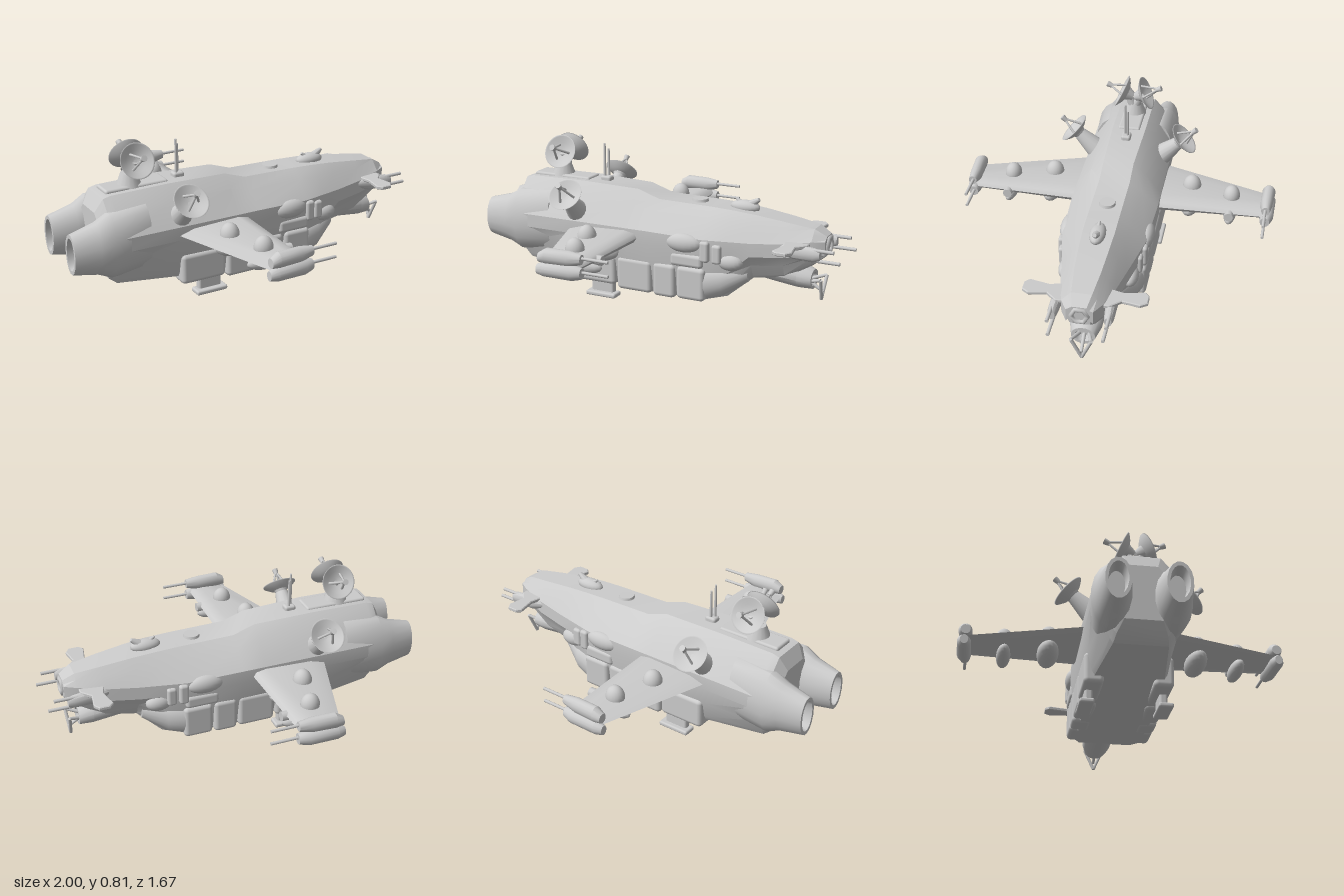
import * as THREE from 'three';
import { toCreasedNormals } from 'three/addons/utils/BufferGeometryUtils.js';
import { RoundedBoxGeometry } from 'three/addons/geometries/RoundedBoxGeometry.js';

const mat = new THREE.MeshStandardMaterial({ color: 0xcccccc });
const thin = new THREE.MeshStandardMaterial({ color: 0xcccccc, side: THREE.DoubleSide });
const V = (x, y, z) => new THREE.Vector3(x, y, z);
const UP = V(0, 1, 0);

// Skin a row of stations { x, loop: [[y, z], ...] } ordered along x, with end caps
function loft(stations, crease = 0.5) {
  const n = stations[0].loop.length, pos = [], idx = [];
  stations.forEach(s => s.loop.forEach(([y, z]) => pos.push(s.x, y, z)));
  for (let i = 0; i < stations.length - 1; i++) {
    for (let j = 0; j < n; j++) {
      const a = i * n + j, c = i * n + (j + 1) % n;
      idx.push(a, c, a + n, c, c + n, a + n);
    }
  }
  const last = (stations.length - 1) * n;
  for (let j = 1; j < n - 1; j++) idx.push(0, j + 1, j, last, last + j, last + j + 1);
  const g = new THREE.BufferGeometry();
  g.setAttribute('position', new THREE.Float32BufferAttribute(pos, 3));
  g.setIndex(idx);
  return toCreasedNormals(g, crease);
}

// Oval station with centre (cy, cz) and radii (ry, rz)
function oval(x, cy, cz, ry, rz, n = 16) {
  const loop = [];
  for (let i = 0; i < n; i++) {
    const t = (i + 0.5) / n * Math.PI * 2;
    loop.push([cy + ry * Math.cos(t), cz + rz * Math.sin(t)]);
  }
  return { x, loop };
}

export function createModel() {
  const model = new THREE.Group();
  model.name = 'gunship';

  function add(name, geo, x = 0, y = 0, z = 0, m = mat, parent = model) {
    const mesh = new THREE.Mesh(geo, m);
    mesh.name = name;
    mesh.position.set(x, y, z);
    parent.add(mesh);
    return mesh;
  }
  function rod(name, a, b, r0, r1 = r0, sides = 10, parent = model) {
    const d = b.clone().sub(a), mid = a.clone().add(b).multiplyScalar(0.5);
    const m = add(name, new THREE.CylinderGeometry(r1, r0, d.length(), sides), mid.x, mid.y, mid.z, mat, parent);
    m.quaternion.setFromUnitVectors(UP, d.normalize());
    return m;
  }
  const box = (name, w, h, d, x, y, z, r = 0.012) =>
    add(name, new RoundedBoxGeometry(w, h, d, 2, r), x, y, z);
  function ball(name, rx, ry, rz, x, y, z) {
    const m = add(name, new THREE.SphereGeometry(1, 18, 12), x, y, z);
    m.scale.set(rx, ry, rz);
    return m;
  }

  // Hull: [x, top y, bottom y, top half width, widest half width, widest y, bottom half width]
  const hull = [
    [-0.84, 0.50, 0.22, 0.07, 0.15, 0.37, 0.09],
    [-0.80, 0.57, 0.16, 0.09, 0.21, 0.37, 0.12],
    [-0.76, 0.58, 0.13, 0.09, 0.23, 0.37, 0.13],
    [-0.45, 0.585, 0.11, 0.09, 0.23, 0.37, 0.17],
    [-0.12, 0.575, 0.07, 0.08, 0.23, 0.37, 0.18],
    [0.00, 0.535, 0.06, 0.08, 0.23, 0.37, 0.18],
    [0.30, 0.53, 0.06, 0.08, 0.215, 0.36, 0.17],
    [0.42, 0.525, 0.09, 0.08, 0.19, 0.36, 0.14],
    [0.54, 0.515, 0.19, 0.075, 0.165, 0.36, 0.09],
    [0.70, 0.495, 0.21, 0.065, 0.135, 0.37, 0.07],
    [0.84, 0.475, 0.29, 0.05, 0.10, 0.39, 0.05],
    [0.90, 0.44, 0.34, 0.035, 0.065, 0.39, 0.035],
  ].map(([x, t, b, wt, wm, ym, wb]) => {
    const half = [[t, wt], [t - (t - ym) * 0.3, wt + (wm - wt) * 0.45], [ym + 0.03, wm],
      [ym - 0.04, wm], [b + (ym - b) * 0.45, (wm + wb) / 2 + 0.005], [b + 0.03 * (ym - b) / 0.3, wb + 0.015], [b, wb]];
    return { x, loop: [...half, ...half.map(([y, z]) => [y, -z]).reverse()] };
  });
  add('hull', loft(hull, 0.35));

  // Nose collar, chin turret and its splayed prongs
  const collar = add('noseCollar', new THREE.TorusGeometry(0.04, 0.012, 8, 6), 0.9, 0.39, 0);
  collar.rotation.y = Math.PI / 2;
  add('chinTurret', loft([oval(0.5, 0.24, 0, 0.06, 0.06), oval(0.64, 0.23, 0, 0.065, 0.085),
    oval(0.76, 0.215, 0, 0.065, 0.08), oval(0.83, 0.20, 0, 0.05, 0.06), oval(0.83, 0.20, 0, 0.035, 0.042),
    oval(0.79, 0.20, 0, 0.03, 0.035)]));
  for (const [y, z] of [[0.215, 0.05], [0.215, -0.05], [0.14, 0]])
    rod('chinProng', V(0.80, 0.19, z * 0.5), V(0.88, y, z), 0.01, 0.008);
  rod('chinProngBar', V(0.88, 0.215, 0.05), V(0.87, 0.10, 0), 0.009);
  rod('chinProngBar', V(0.88, 0.215, -0.05), V(0.87, 0.10, 0), 0.009);

  // Roof details: sensor fin, hatch, twin masts, dish pedestal
  ball('sensorBase', 0.08, 0.035, 0.04, 0.45, 0.53, 0);
  rod('sensorHorn', V(0.46, 0.53, 0), V(0.525, 0.575, 0), 0.03, 0.01, 8);
  rod('sensorFin', V(0.44, 0.54, 0), V(0.40, 0.57, 0), 0.018, 0.006, 8);
  add('roofHatch', new THREE.CylinderGeometry(0.04, 0.045, 0.02, 16), 0.2, 0.535, 0);
  rod('mast', V(-0.36, 0.56, 0.008), V(-0.36, 0.78, 0.008), 0.008, 0.006);
  rod('mast', V(-0.345, 0.56, -0.008), V(-0.345, 0.75, -0.008), 0.008, 0.006);
  box('mastBase', 0.06, 0.04, 0.05, -0.35, 0.585, 0);
  add('dishPedestal', new THREE.CylinderGeometry(0.04, 0.07, 0.08, 16), -0.62, 0.61, 0);
  box('roofPlate', 0.34, 0.03, 0.12, -0.6, 0.58, 0);

  // Wings: one airfoil span through the hull, [span, rear x, front x, half thickness]
  const span = [[-0.79, -0.28, -0.07, 0.022], [-0.22, -0.46, -0.055, 0.034],
    [0.22, -0.46, -0.055, 0.034], [0.79, -0.28, -0.07, 0.022]].map(([x, r, f, h]) => ({
    x,
    loop: [[0, r], [-0.7 * h, r + 0.08], [-h, f - 0.07], [-0.7 * h, f - 0.015], [0, f],
      [0.7 * h, f - 0.015], [h, f - 0.07], [0.7 * h, r + 0.08]].map(([y, px]) => [0.355 + y, -px]),
  }));
  add('wings', loft(span, 0.9).rotateY(-Math.PI / 2));

  // Dish antenna: bowl, hub and tripod feed, opening along dir
  const bowl = new THREE.LatheGeometry([[0.001, -0.03], [0.03, -0.026], [0.06, -0.014], [0.09, 0.006],
    [0.092, 0.011], [0.085, 0.008], [0.055, -0.007], [0.025, -0.018], [0.001, -0.021]]
    .map(p => new THREE.Vector2(...p)), 28);
  function dish(name, center, dir) {
    const g = new THREE.Group();
    g.name = name;
    add('bowl', bowl, 0, 0, 0, thin, g);
    for (let i = 0; i < 3; i++) {
      const a = i / 3 * Math.PI * 2;
      rod('feedStrut', V(0.045 * Math.cos(a), -0.01, 0.045 * Math.sin(a)), V(0, 0.085, 0), 0.007, 0.006, 6, g);
    }
    rod('feedHorn', V(0, 0.07, 0), V(0, 0.1, 0), 0.012, 0.016, 10, g);
    rod('hub', V(0, -0.06, 0), V(0, -0.02, 0), 0.022, 0.04, 12, g);
    g.position.copy(center);
    g.quaternion.setFromUnitVectors(UP, dir.normalize());
    model.add(g);
  }

  for (const s of [1, -1]) {
    // Engine nacelle with recessed nozzle
    add('engine', loft([oval(-0.93, 0.34, s * 0.14, 0.07, 0.04), oval(-1, 0.34, s * 0.14, 0.085, 0.047),
      oval(-1, 0.34, s * 0.14, 0.105, 0.062), oval(-0.87, 0.345, s * 0.14, 0.135, 0.085),
      oval(-0.8, 0.35, s * 0.145, 0.17, 0.095), oval(-0.6, 0.36, s * 0.13, 0.17, 0.09)], 0.7));

    // Dishes and the stalks of the lower pair
    dish('upperDish', V(-0.6, 0.72, s * 0.06), V(0, 0.42, s * 0.9));
    rod('upperDishStalk', V(-0.61, 0.62, 0), V(-0.6, 0.71, s * 0.04), 0.03, 0.015);
    dish('lowerDish', V(-0.43, 0.555, s * 0.30), V(0, 0.69, s * 0.72));
    rod('lowerDishStalk', V(-0.43, 0.42, s * 0.16), V(-0.43, 0.53, s * 0.275), 0.065, 0.035, 16);

    // Wing domes and underslung pods
    ball('innerWingDome', 0.05, 0.065, 0.05, -0.26, 0.375, s * 0.38);
    ball('outerWingDome', 0.05, 0.06, 0.045, -0.2, 0.38, s * 0.6);
    ball('innerWingPod', 0.13, 0.055, 0.055, -0.21, 0.315, s * 0.38);
    ball('outerWingPod', 0.12, 0.04, 0.036, -0.17, 0.305, s * 0.6);
    rod('wingGun', V(-0.1, 0.345, s * 0.6), V(-0.045, 0.345, s * 0.6), 0.025);

    // Wing tip gun pods
    add('tipPodUpper', loft([oval(-0.28, 0.39, s * 0.795, 0.025, 0.025), oval(-0.24, 0.4, s * 0.795, 0.04, 0.035),
      oval(-0.12, 0.4, s * 0.79, 0.04, 0.032), oval(-0.05, 0.405, s * 0.79, 0.025, 0.022)]));
    add('tipPodLower', loft([oval(-0.29, 0.33, s * 0.8, 0.025, 0.02), oval(-0.25, 0.335, s * 0.8, 0.038, 0.035),
      oval(-0.1, 0.335, s * 0.795, 0.04, 0.037), oval(-0.05, 0.335, s * 0.79, 0.028, 0.025)]));
    for (const y of [0.41, 0.34]) rod('tipGunBarrel', V(-0.08, y, s * 0.787), V(0.09, y, s * 0.787), 0.008);

    // Cargo pods along the lower flank: [rear x, front x, bottom y]
    for (const [a, b, y0] of [[-0.44, -0.19, 0.075], [-0.18, 0.02, 0.06], [0.03, 0.155, 0.055], [0.165, 0.32, 0.06]])
      box('cargoPod', b - a, 0.235 - y0, 0.1, (a + b) / 2, (0.235 + y0) / 2, s * 0.172, 0.022);
    add('cargoFairing', loft([oval(0.3, 0.15, s * 0.16, 0.09, 0.06), oval(0.4, 0.165, s * 0.145, 0.075, 0.05),
      oval(0.52, 0.21, s * 0.1, 0.04, 0.03)]));

    // Landing skid
    box('skidLeg', 0.13, 0.09, 0.04, -0.275, 0.06, s * 0.185);
    box('skidFoot', 0.175, 0.025, 0.075, -0.275, 0.0135, s * 0.195, 0.01);

    // Flank machinery
    box('flankPanel', 0.18, 0.07, 0.05, 0.22, 0.27, s * 0.2, 0.02);
    ball('flankBlister', 0.1, 0.05, 0.04, 0.2, 0.36, s * 0.205);
    box('flankVent', 0.05, 0.11, 0.05, 0.32, 0.33, s * 0.205, 0.015);
    box('flankVent', 0.05, 0.1, 0.05, 0.38, 0.32, s * 0.19, 0.015);
    ball('flankCap', 0.07, 0.045, 0.04, 0.44, 0.28, s * 0.165);

    // Nose winglet and twin guns
    const w = new THREE.Shape([[0.71, 0.10], [0.73, 0.18], [0.71, 0.28], [0.73, 0.30], [0.78, 0.30],
      [0.80, 0.27], [0.785, 0.18], [0.83, 0.13], [0.83, 0.10]].map(([x, z]) => new THREE.Vector2(x, s * z)));
    const winglet = new THREE.ExtrudeGeometry(w, { depth: 0.012, bevelSize: 0.004, bevelThickness: 0.004, bevelSegments: 1 });
    add('noseWinglet', winglet.rotateX(Math.PI / 2).translate(0, 0.41, 0));
    add('noseGunMount', loft([oval(0.68, 0.38, s * 0.115, 0.02, 0.02, 12), oval(0.76, 0.375, s * 0.13, 0.04, 0.03, 12),
      oval(0.87, 0.37, s * 0.135, 0.035, 0.024, 12), oval(0.9, 0.37, s * 0.135, 0.025, 0.018, 12)]));
    rod('noseGunBarrel', V(0.82, 0.395, s * 0.14), V(0.97, 0.395, s * 0.14), 0.009);
    rod('noseGunBarrel', V(0.82, 0.34, s * 0.13), V(1, 0.34, s * 0.13), 0.009);
  }
  return model;
}
